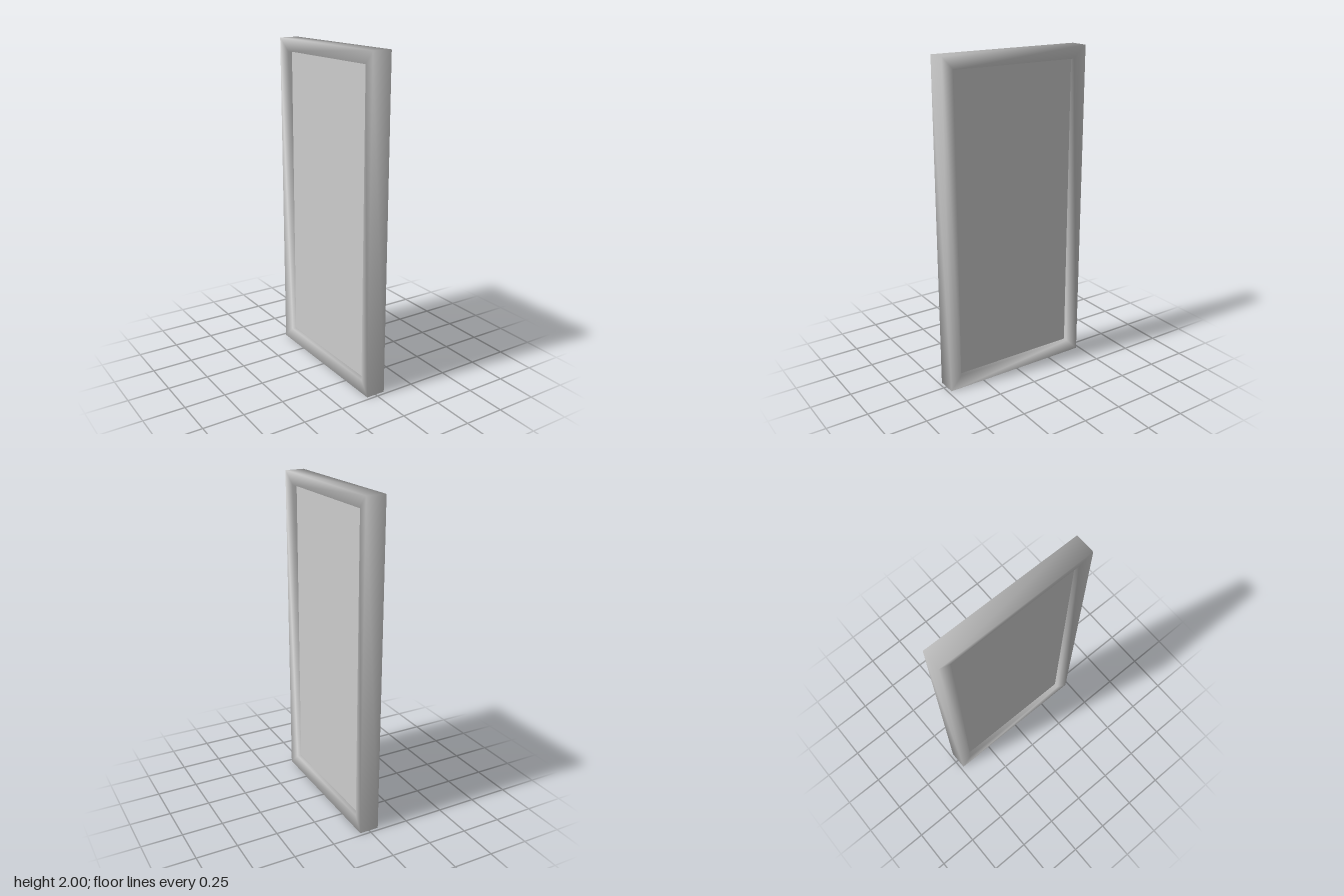
import * as THREE from 'three';

// Frame: a closed cross-section swept around the four corners, with shared vertices for soft shading
function frameGeometry() {
  // [inset from the outer edge, x]
  const profile = [[0, 0.06], [0.076, 0.05], [0.076, -0.05], [0, -0.06]];
  const corners = [[1, 1], [-1, 1], [-1, -1], [1, -1]]; // signs of z and y
  const n = profile.length;
  const positions = [];
  const index = [];
  for (const [sz, sy] of corners) {
    for (const [inset, x] of profile) {
      positions.push(x, 1 + sy * (1 - inset), sz * (0.48 - inset));
    }
  }
  for (let c = 0; c < 4; c++) {
    for (let p = 0; p < n; p++) {
      const q = (p + 1) % n;
      const d = (c + 1) % 4;
      const a = c * n + p, b = c * n + q, e = d * n + q, f = d * n + p;
      index.push(a, f, b, f, e, b);
    }
  }
  const geometry = new THREE.BufferGeometry();
  geometry.setAttribute('position', new THREE.Float32BufferAttribute(positions, 3));
  // Make the faces point outwards
  for (let i = 0; i < index.length; i += 3) {
    [index[i + 1], index[i + 2]] = [index[i + 2], index[i + 1]];
  }
  geometry.setIndex(index);
  if (signedVolume(positions, index) < 0) geometry.setIndex(index.reverse());
  geometry.computeVertexNormals();
  return geometry;
}

// Positive when the triangles of a closed surface face outwards
function signedVolume(positions, index) {
  const v = (i) => new THREE.Vector3().fromArray(positions, i * 3);
  let sum = 0;
  for (let i = 0; i < index.length; i += 3) {
    sum += v(index[i]).dot(v(index[i + 1]).cross(v(index[i + 2])));
  }
  return sum;
}

export function createModel() {
  const model = new THREE.Group();
  model.name = 'framedPanel';
  const grey = new THREE.MeshStandardMaterial({ color: 0xcccccc });
  grey.name = 'light grey';

  const frame = new THREE.Mesh(frameGeometry(), grey);
  frame.name = 'frame';

  // Panel recessed on both sides
  const panel = new THREE.Mesh(new THREE.BoxGeometry(0.046, 1.85, 0.81), grey);
  panel.name = 'panel';
  panel.position.y = 1;

  model.add(frame, panel);
  return model;
}
